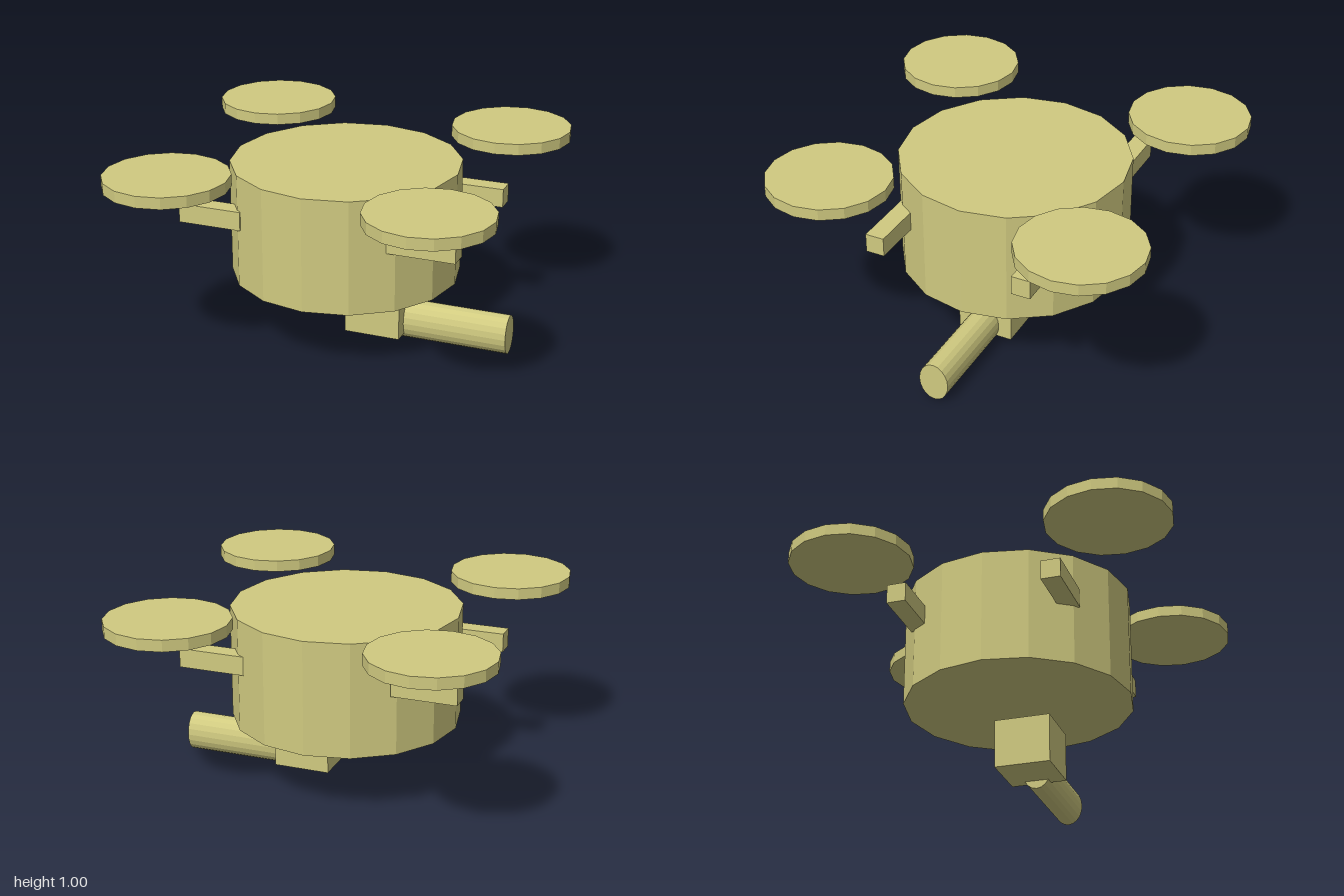
import * as THREE from 'three';

export function createModel() {
  const model = new THREE.Group();
  const khaki = new THREE.MeshStandardMaterial({ color: 0xd0ca80 });
  khaki.name = 'khaki';
  khaki.flatShading = true;

  const add = (name, geometry, x, y, z) => {
    const mesh = new THREE.Mesh(geometry, khaki);
    mesh.name = name;
    mesh.position.set(x, y, z);
    model.add(mesh);
    return mesh;
  };

  // Drum-shaped body
  add('body', new THREE.CylinderGeometry(0.6, 0.6, 0.6, 16), 0, 0.64, 0);

  // Four rotor discs, each above a short square arm
  const rotor = new THREE.CylinderGeometry(0.32, 0.32, 0.06, 16);
  for (const sx of [-1, 1]) {
    const inner = sx < 0 ? 0.4 : 0.34;
    const arm = new THREE.BoxGeometry(0.74 - inner, 0.1, 0.1);
    for (const sz of [-1, 1]) {
      add('rotor', rotor, sx * 0.68, 0.97, sz * 0.68);
      add('arm', arm, sx * (0.74 + inner) / 2, 0.705, sz * 0.4);
    }
  }

  // Turret block below the body, with an oval barrel pointing sideways
  add('turret', new THREE.BoxGeometry(0.3, 0.262, 0.3), 0.2, 0.175, 0);
  const barrel = new THREE.CylinderGeometry(1, 1, 0.6, 20);
  barrel.scale(0.105, 1, 0.08).rotateZ(-Math.PI / 2);
  add('barrel', barrel, 0.6, 0.105, 0);

  return model;
}
